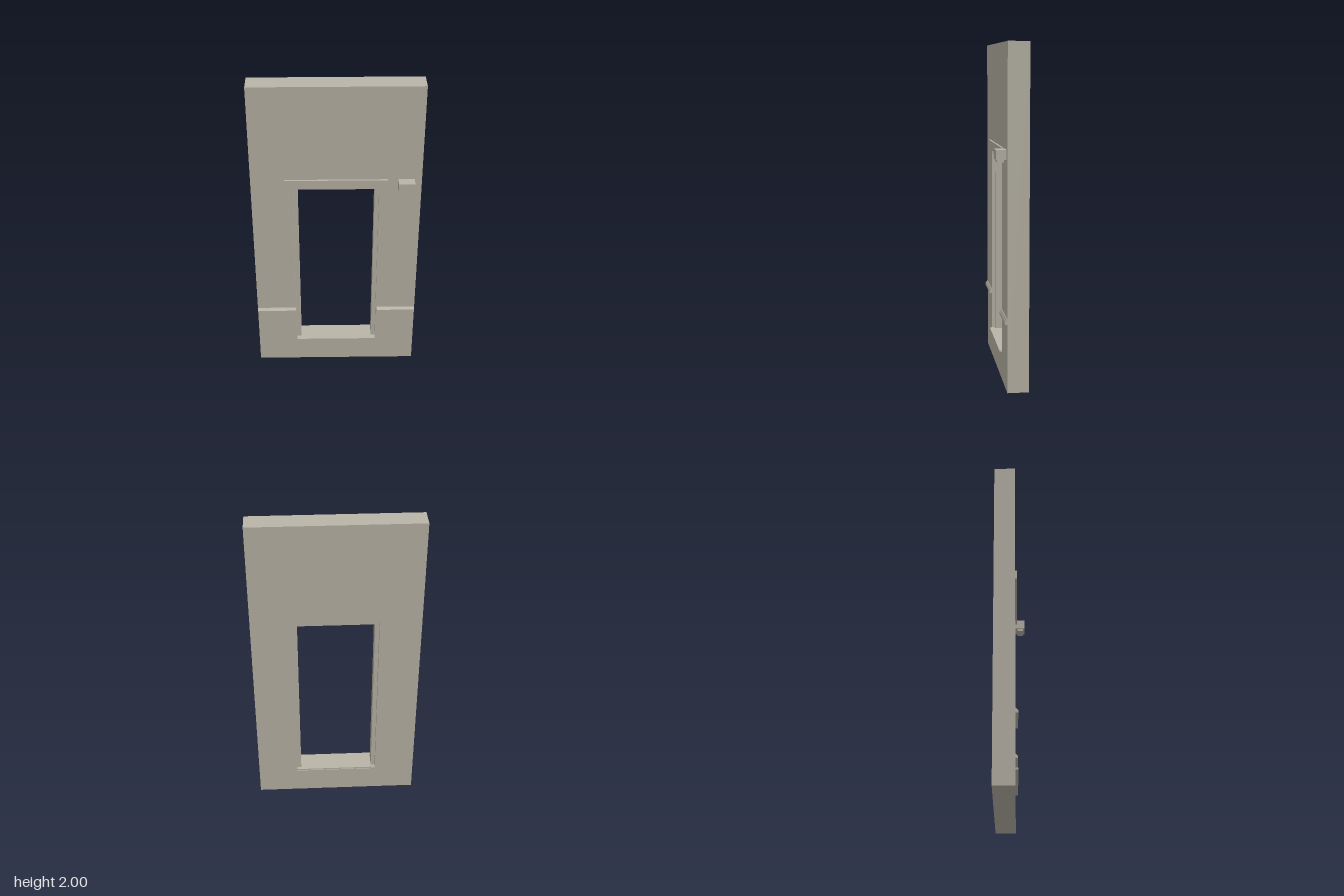
import * as THREE from 'three';

export function createModel() {
  const model = new THREE.Group();
  model.name = 'doorwayWall';
  const plaster = new THREE.MeshStandardMaterial({ color: 0xbab5a8 });
  plaster.name = 'warm grey plaster';

  const add = (name, geometry, parent = model) => {
    const mesh = new THREE.Mesh(geometry, plaster);
    mesh.name = name;
    parent.add(mesh);
    return mesh;
  };

  // Box given by its lower and upper limits on each axis
  const box = (name, [x0, x1], [y0, y1], [z0, z1], parent) => {
    const mesh = add(name, new THREE.BoxGeometry(x1 - x0, y1 - y0, z1 - z0), parent);
    mesh.position.set((x0 + x1) / 2, (y0 + y1) / 2, (z0 + z1) / 2);
    return mesh;
  };

  const rectangle = (Type, x, y0, y1) => {
    const p = new Type();
    p.moveTo(-x, y0);
    p.lineTo(x, y0);
    p.lineTo(x, y1);
    p.lineTo(-x, y1);
    p.closePath();
    return p;
  };

  const halfWidth = 0.505, opening = 0.255, back = -0.094, front = 0.031;

  // Wall slab with a door opening
  const wallShape = rectangle(THREE.Shape, halfWidth, 0, 2);
  wallShape.holes.push(rectangle(THREE.Path, opening, 0.168, 1.345));
  const wall = add('wall', new THREE.ExtrudeGeometry(wallShape, { depth: front - back, bevelEnabled: false }));
  wall.position.z = back;

  // Door frame, set back from both wall faces
  const frame = new THREE.Group();
  frame.name = 'doorFrame';
  model.add(frame);
  const frameDepth = [-0.072, 0.012];
  for (const side of [-1, 1]) {
    const xs = [side * 0.23, side * opening].sort((a, b) => a - b);
    box(side > 0 ? 'leftJamb' : 'rightJamb', xs, [0.178, 1.345], frameDepth, frame);
  }
  box('frameHead', [-0.23, 0.23], [1.322, 1.345], frameDepth, frame);

  // Threshold with a small lip, and the lintel board above the door
  box('threshold', [-opening, opening], [0.168, 0.178], [-0.09, 0.046]);
  box('lintel', [-0.305, 0.305], [1.345, 1.402], [front, 0.043]);

  // Dado rails with a sloping top, one on each side of the door
  const railProfile = new THREE.Shape([
    [front, 0.406], [0.046, 0.406], [0.046, 0.42], [front + 0.003, 0.434], [front, 0.434],
  ].map(([z, y]) => new THREE.Vector2(-z, y)));
  for (const side of [-1, 1]) {
    const geometry = new THREE.ExtrudeGeometry(railProfile, { depth: halfWidth - 0.26, bevelEnabled: false });
    geometry.rotateY(Math.PI / 2);
    const rail = add(side > 0 ? 'leftRail' : 'rightRail', geometry);
    rail.position.x = side > 0 ? 0.26 : -halfWidth;
  }

  // Wall lamp: housing with a smaller lens below
  const lamp = new THREE.Group();
  lamp.name = 'wallLamp';
  model.add(lamp);
  box('lampHousing', [0.365, 0.462], [1.345, 1.402], [front, 0.092], lamp);
  box('lampLens', [0.377, 0.45], [1.33, 1.345], [0.045, 0.084], lamp);

  return model;
}
